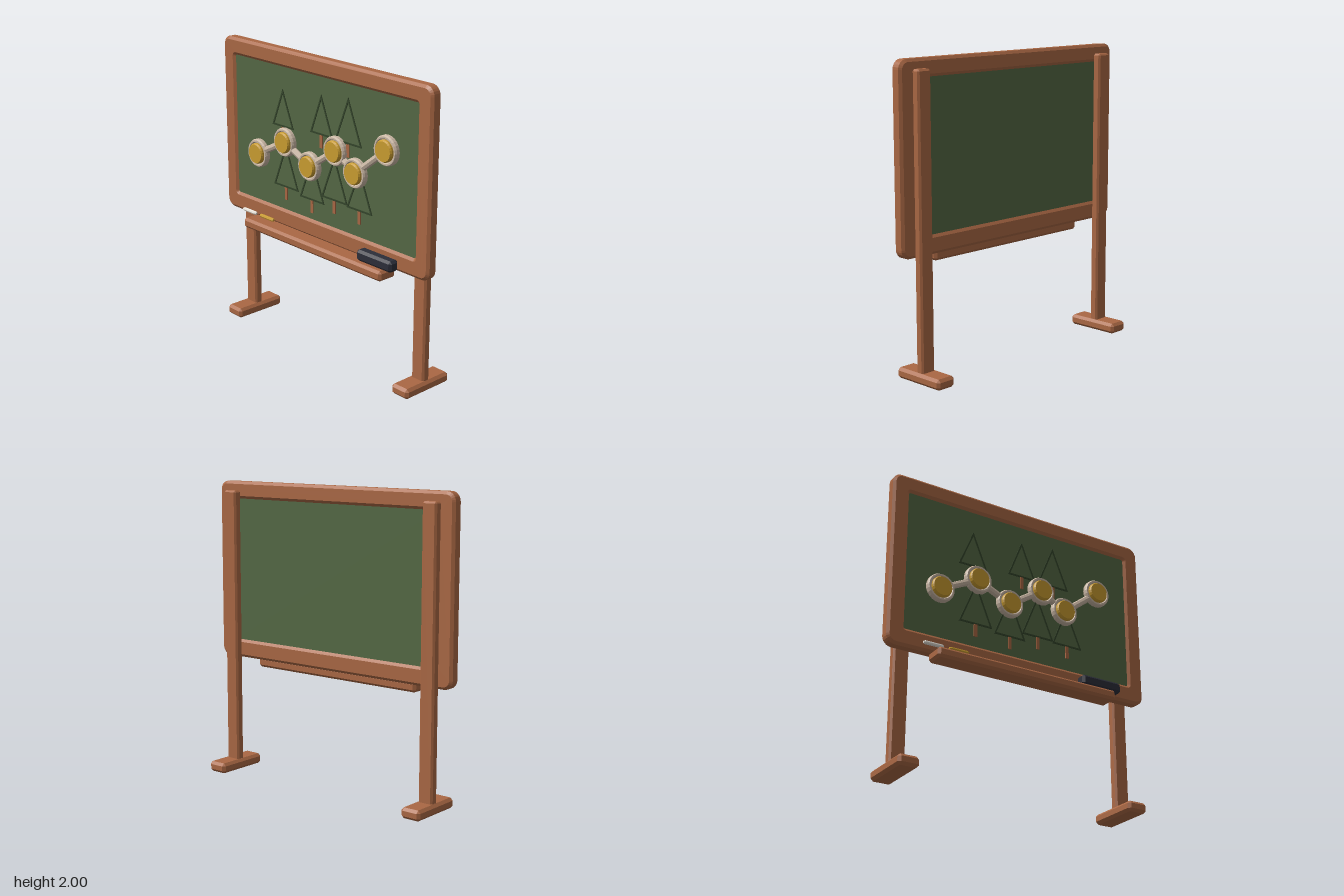
import * as THREE from 'three';
import { ConvexGeometry } from 'three/addons/geometries/ConvexGeometry.js';

const material = (name, color, extra = {}) => {
  const m = new THREE.MeshStandardMaterial({ color, ...extra });
  m.name = name;
  return m;
};

export function createModel() {
  const model = new THREE.Group();
  model.name = 'chalkboard';
  const wood = material('wood', 0xaa6844);
  const green = material('board green', 0x546844);
  const darkGreen = material('outline green', 0x34452b);
  const silver = material('pale metal', 0xcbb8a5);
  const gold = material('gold', 0xc99c30);
  const black = material('eraser black', 0x2c2e39);
  const white = material('white chalk', 0xe6e1d8);

  const add = (name, geometry, mat, x = 0, y = 0, z = 0, parent = model) => {
    const mesh = new THREE.Mesh(geometry, mat);
    mesh.name = name;
    mesh.position.set(x, y, z);
    parent.add(mesh);
    return mesh;
  };

  // Box with every edge cut at 45 degrees
  const chamferBox = (w, h, d, b) => {
    const points = [];
    for (const sx of [-1, 1]) for (const sy of [-1, 1]) for (const sz of [-1, 1]) {
      const [x, y, z] = [w / 2, h / 2, d / 2];
      points.push(
        new THREE.Vector3(sx * x, sy * (y - b), sz * (z - b)),
        new THREE.Vector3(sx * (x - b), sy * y, sz * (z - b)),
        new THREE.Vector3(sx * (x - b), sy * (y - b), sz * z));
    }
    return new ConvexGeometry(points);
  };

  // Rounded rectangle outline
  const roundRect = (path, x0, y0, x1, y1, r) => {
    path.moveTo(x0 + r, y0);
    path.lineTo(x1 - r, y0);
    path.absarc(x1 - r, y0 + r, r, -Math.PI / 2, 0);
    path.lineTo(x1, y1 - r);
    path.absarc(x1 - r, y1 - r, r, 0, Math.PI / 2);
    path.lineTo(x0 + r, y1);
    path.absarc(x0 + r, y1 - r, r, Math.PI / 2, Math.PI);
    path.lineTo(x0, y0 + r);
    path.absarc(x0 + r, y0 + r, r, Math.PI, Math.PI * 1.5);
    return path;
  };

  // Frame with bevelled rim and opening
  const bevel = 0.018;
  const outer = roundRect(new THREE.Shape(), -0.965 + bevel, 0.79 + bevel, 0.965 - bevel, 2 - bevel, 0.045);
  outer.holes.push(roundRect(new THREE.Path(), -0.866, 0.895, 0.866, 1.902, 0.03));
  add('frame', new THREE.ExtrudeGeometry(outer, {
    depth: 0.05, bevelEnabled: true, bevelSize: bevel, bevelThickness: 0.015,
    bevelSegments: 1, curveSegments: 3,
  }), wood, 0, 0, 0.035);

  // Writing surface
  add('board', new THREE.BoxGeometry(1.74, 1.01, 0.05), green, 0, 1.4, 0.06);
  const boardFront = 0.085;

  // Posts and feet
  for (const side of [-1, 1]) {
    const name = side > 0 ? 'left' : 'right';
    add(name + 'Post', chamferBox(0.105, 1.89, 0.06, 0.012), wood, side * 0.822, 0.995, -0.01);
    add(name + 'Foot', chamferBox(0.142, 0.07, 0.385, 0.018), wood, side * 0.822, 0.035, -0.01);
  }

  // Tray, eraser and chalk
  add('tray', chamferBox(1.325, 0.068, 0.142, 0.016), wood, 0, 0.764, 0.134);
  add('eraser', chamferBox(0.305, 0.074, 0.076, 0.016), black, 0.573, 0.837, 0.141);
  const chalkProfile = [[0, -0.069], [0.008, -0.069], [0.013, -0.058], [0.013, 0.058], [0.008, 0.069], [0, 0.069]]
    .map(([r, y]) => new THREE.Vector2(r, y));
  const chalk = new THREE.LatheGeometry(chalkProfile, 8).toNonIndexed();
  chalk.computeVertexNormals();
  chalk.rotateZ(Math.PI / 2);
  add('whiteChalk', chalk, white, -0.666, 0.828, 0.139);
  add('yellowChalk', chalk, gold, -0.487, 0.828, 0.139);

  // Drawn trees: x, base height, half width, tree height
  const trees = [
    [-0.368, 1.48, 0.105, 0.255], [0.005, 1.505, 0.105, 0.265], [0.252, 1.5, 0.122, 0.298],
    [-0.342, 1.068, 0.122, 0.298], [-0.087, 1.043, 0.118, 0.29],
    [0.127, 1.095, 0.122, 0.298], [0.357, 1.085, 0.115, 0.28],
  ];
  const line = 0.011;
  trees.forEach(([x, y, half, height], i) => {
    const tree = new THREE.Group();
    tree.name = 'tree' + (i + 1);
    tree.position.set(x, y, boardFront);
    model.add(tree);
    // Inset the triangle by an even line width
    const slant = Math.hypot(half, height);
    const top = height - line * slant / half;
    const innerHalf = (top - line) * half / height;
    const shape = new THREE.Shape([[-half, 0], [half, 0], [0, height]].map(p => new THREE.Vector2(...p)));
    shape.holes.push(new THREE.Path([[-innerHalf, line], [0, top], [innerHalf, line]].map(p => new THREE.Vector2(...p))));
    add('treeOutline', new THREE.ExtrudeGeometry(shape, { depth: 0.005, bevelEnabled: false }), darkGreen, 0, 0, 0, tree);
    add('trunk', new THREE.BoxGeometry(0.024, 0.085, 0.007), wood, 0, -0.0425, 0.0035, tree);
  });

  // Chain of medallions joined by rods
  const stops = [[-0.607, 1.251], [-0.335, 1.386], [-0.094, 1.277], [0.149, 1.436], [0.331, 1.333], [0.601, 1.542]];
  const lathe = (points) => {
    const g = new THREE.LatheGeometry(points.map(p => new THREE.Vector2(...p)), 24).toNonIndexed();
    g.computeVertexNormals();
    g.rotateX(Math.PI / 2);
    return g;
  };
  const ringGeometry = lathe([[0.097, 0], [0.097, 0.023], [0.09, 0.035], [0.079, 0.035], [0.073, 0.026], [0, 0.026]]);
  const discGeometry = lathe([[0.071, 0.024], [0.071, 0.04], [0.064, 0.051], [0, 0.051]]);
  stops.forEach(([x, y], i) => {
    add('medallionRing' + (i + 1), ringGeometry, silver, x, y, boardFront);
    add('medallionDisc' + (i + 1), discGeometry, gold, x, y, boardFront);
    if (i === 0) return;
    const [px, py] = stops[i - 1];
    const rod = new THREE.CylinderGeometry(0.023, 0.023, Math.hypot(x - px, y - py) - 0.16, 8).toNonIndexed();
    rod.computeVertexNormals();
    add('rod' + i, rod, silver, (x + px) / 2, (y + py) / 2, boardFront + 0.012)
      .rotation.z = Math.atan2(y - py, x - px) - Math.PI / 2;
  });

  return model;
}
